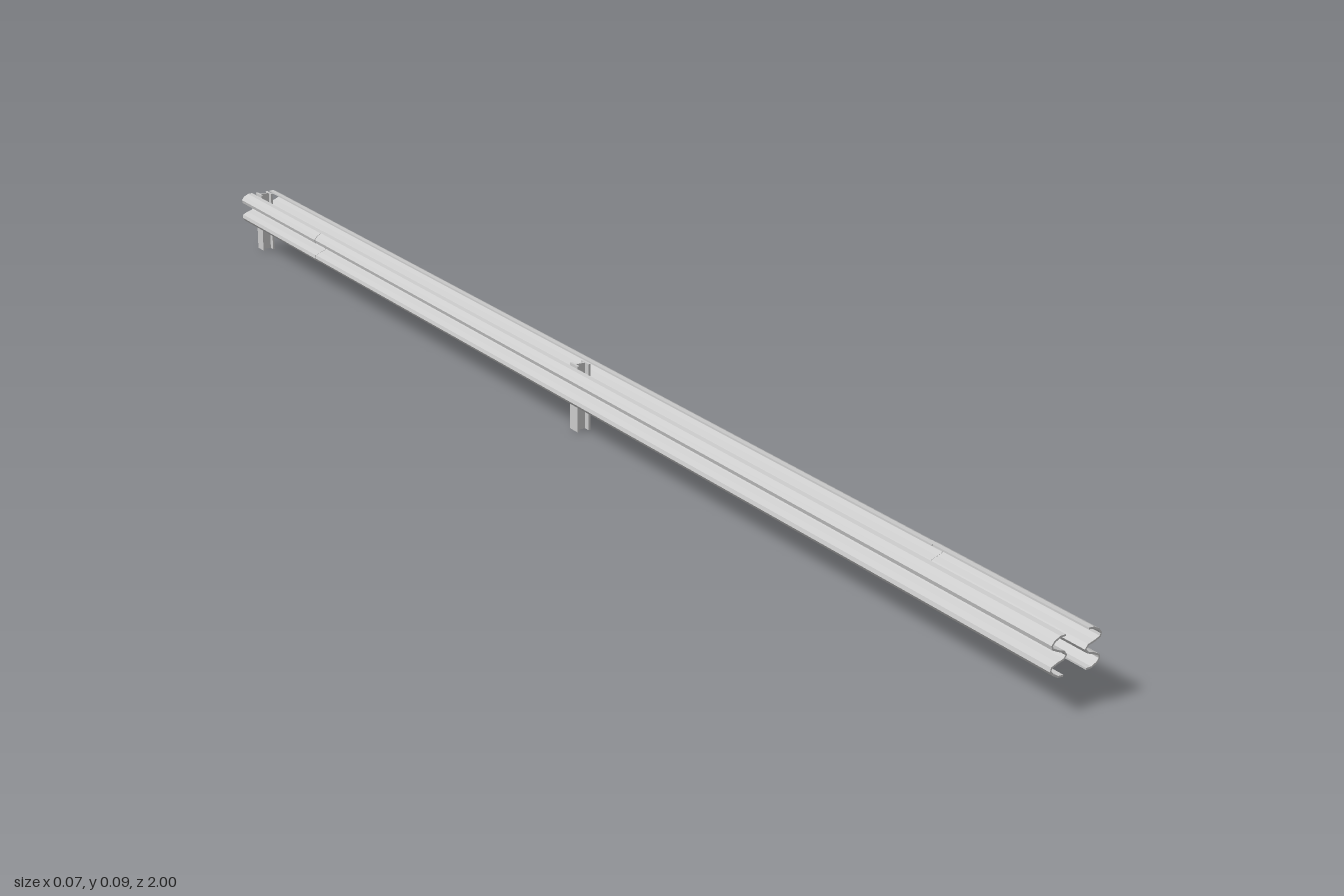
import * as THREE from 'three';

const steel = new THREE.MeshStandardMaterial({ color: 0xcccccc, side: THREE.DoubleSide });

// Closed outline of the W-shaped beam: a centre line thickened to both sides
function beamShape(thickness) {
  const line = [
    [0.015, 0.0915], [0.022, 0.0912], [0.029, 0.0875], [0.0325, 0.083], [0.0315, 0.079],
    [0.024, 0.0755], [0.016, 0.073], [0.0125, 0.0685], [0.016, 0.064], [0.024, 0.0615],
    [0.0315, 0.058], [0.0325, 0.054], [0.029, 0.0495], [0.022, 0.0458], [0.015, 0.0455],
  ].map(([x, y]) => new THREE.Vector2(x, y));
  const side = (s) => line.map((p, i) => {
    const t = line[Math.min(i + 1, line.length - 1)].clone().sub(line[Math.max(i - 1, 0)]).normalize();
    return new THREE.Vector2(p.x - t.y * s, p.y + t.x * s);
  });
  return new THREE.Shape([...side(thickness / 2), ...side(-thickness / 2).reverse()]);
}

function extrude(name, shape, depth) {
  const geometry = new THREE.ExtrudeGeometry(shape, { depth, bevelEnabled: false });
  const mesh = new THREE.Mesh(geometry, steel);
  mesh.name = name;
  return mesh;
}

// One side rail: a long beam with a short beam lapped over its end
function rail(name) {
  const group = new THREE.Group();
  group.name = name;
  const shape = beamShape(0.0022);
  const longBeam = extrude('longBeam', shape, 1.74);
  longBeam.position.z = -1;
  const endBeam = extrude('endBeam', shape, 0.27);
  endBeam.position.set(0.0008, 0, 0.73);
  group.add(longBeam, endBeam);
  return group;
}

// H-section post: two flanges facing the rails, joined by a web
function post(name, z) {
  const w = 0.01, d = 0.01, t = 0.0015;
  const shape = new THREE.Shape([
    [-w, -d], [-w + 2 * t, -d], [-w + 2 * t, -t], [w - 2 * t, -t], [w - 2 * t, -d], [w, -d],
    [w, d], [w - 2 * t, d], [w - 2 * t, t], [-w + 2 * t, t], [-w + 2 * t, d], [-w, d],
  ].map(([x, y]) => new THREE.Vector2(x, y)));
  const mesh = extrude(name, shape, 0.093);
  mesh.geometry.rotateX(-Math.PI / 2);
  mesh.position.z = z;
  return mesh;
}

export function createModel() {
  const model = new THREE.Group();
  model.name = 'guardrail';
  const left = rail('leftRail');
  const right = rail('rightRail');
  right.rotation.y = Math.PI; // lap joint sits at the opposite end
  model.add(left, right, post('middlePost', 0.008), post('backPost', -0.987));
  return model;
}
